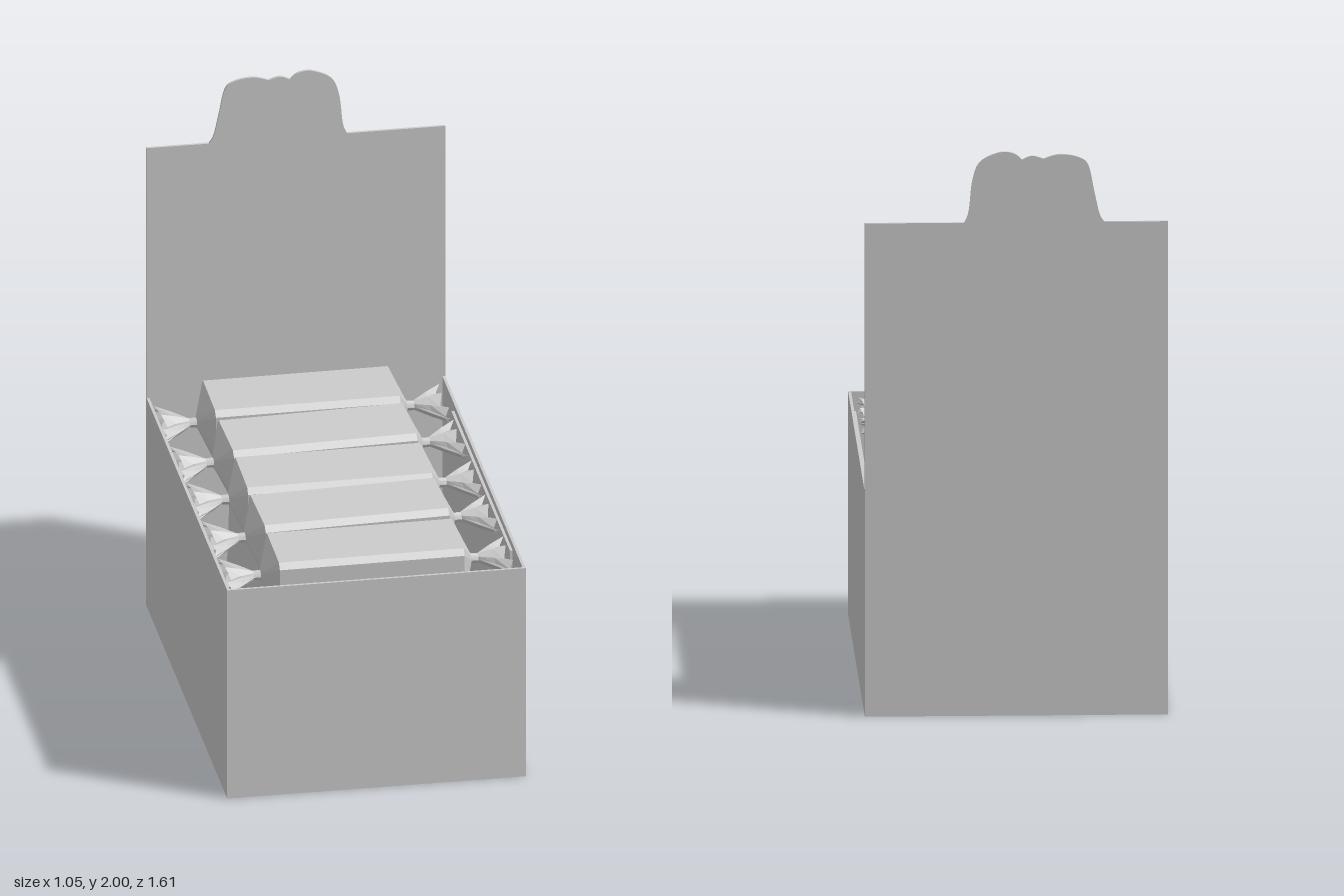
import * as THREE from 'three';

const W = 1.05, H = 0.795, D = 1.61, T = 0.01;

const card = new THREE.MeshStandardMaterial({ color: 0xcccccc, flatShading: true });
const wrap = new THREE.MeshStandardMaterial({ color: 0xcccccc, flatShading: true, side: THREE.DoubleSide });

function panel(name, w, h, d, x, y, z) {
  const mesh = new THREE.Mesh(new THREE.BoxGeometry(w, h, d), card);
  mesh.position.set(x, y, z);
  mesh.name = name;
  return mesh;
}

// Chamfered rectangle, 16 points, as [z, y]
function bodyRing(w, h, c) {
  const half = [[w, 0], [w, h - c], [w - c, h], [w / 2, h], [0, h], [-w / 2, h], [c - w, h], [-w, h - c]];
  return [...half, ...half.map(([z, y]) => [-z, -y])];
}

// Ellipse whose alternate points are pulled in to form pleats
function pleatRing(w, h, pull) {
  return Array.from({ length: 16 }, (_, j) => {
    const a = (j / 16) * Math.PI * 2, k = j % 2 ? pull : 1;
    return [Math.cos(a) * w * (j % 2 ? 0.95 : 1), Math.sin(a) * h * k];
  });
}

// Wrapped sweet lofted along x: fan, knot, body, knot, fan
function sweetGeometry() {
  const side = [
    [0.495, pleatRing(0.135, 0.04, 0.35)],
    [0.445, pleatRing(0.075, 0.03, 0.5)],
    [0.395, pleatRing(0.02, 0.016, 0.8)],
    [0.37, pleatRing(0.02, 0.018, 0.9)],
    [0.325, bodyRing(0.138, 0.1, 0.02)],
  ];
  const rings = [...side.map(([x, r]) => [-x, r]), ...side.slice().reverse()];
  const pos = [], idx = [];
  rings.forEach(([x, ring], i) => ring.forEach(([z, y], j) => {
    const rim = i === 0 || i === rings.length - 1;
    // ragged rim: outer corners reach furthest
    const reach = rim ? Math.sign(x) * ((j % 2 ? -0.012 : 0.006) + 0.1 * (Math.abs(z) - 0.08)) : 0;
    pos.push(x + reach, y, z);
  }));
  for (let i = 0; i < rings.length - 1; i++) {
    for (let j = 0; j < 16; j++) {
      const k = (j + 1) % 16, a = i * 16, b = a + 16;
      idx.push(a + j, b + j, a + k, a + k, b + j, b + k);
    }
  }
  const g = new THREE.BufferGeometry();
  g.setAttribute('position', new THREE.Float32BufferAttribute(pos, 3));
  g.setIndex(idx);
  g.computeVertexNormals();
  return g;
}

// Tall back card with a wavy tab on top
function backCard() {
  const s = new THREE.Shape();
  s.moveTo(-W / 2, 0);
  s.lineTo(W / 2, 0);
  s.lineTo(W / 2, 1.75);
  s.lineTo(0.18, 1.75);
  s.splineThru([[0.165, 1.79], [0.152, 1.9], [0.125, 1.965], [0.06, 1.998], [0.01, 1.995], [-0.02, 1.972]]
    .map(p => new THREE.Vector2(...p)));
  s.splineThru([[-0.055, 1.985], [-0.095, 1.975]].map(p => new THREE.Vector2(...p)));
  s.splineThru([[-0.15, 1.99], [-0.215, 1.98], [-0.25, 1.95], [-0.27, 1.86], [-0.288, 1.78], [-0.305, 1.75]]
    .map(p => new THREE.Vector2(...p)));
  s.lineTo(-W / 2, 1.75);
  s.closePath();
  const g = new THREE.ExtrudeGeometry(s, { depth: T, bevelEnabled: false, curveSegments: 14 });
  const mesh = new THREE.Mesh(g, card);
  mesh.position.z = -D / 2;
  mesh.name = 'backCard';
  return mesh;
}

export function createModel() {
  const root = new THREE.Group();
  root.name = 'sweetDisplayBox';

  // Open carton
  const box = new THREE.Group();
  box.name = 'carton';
  box.add(panel('floor', W, T, D, 0, T / 2, 0));
  box.add(panel('frontWall', W, H, T, 0, H / 2, D / 2 - T / 2));
  for (const s of [1, -1]) {
    const n = s > 0 ? 'left' : 'right';
    box.add(panel(n + 'Wall', T, H, D - 2 * T, s * (W / 2 - T / 2), H / 2, 0));
    // folded-in side flap
    box.add(panel(n + 'InnerFlap', T, 0.7, 1.16, s * (W / 2 - 1.5 * T), 0.42, 0.02));
  }
  box.add(backCard());
  root.add(box);

  // Raised insert under the sweets, with sloping sides
  const insert = panel('insert', 0.54, 0.64, 1.3, -0.005, 0.33, 0);
  const p = insert.geometry.attributes.position;
  for (let i = 0; i < p.count; i++) if (p.getY(i) > 0) p.setX(i, p.getX(i) * 0.92);
  insert.geometry.computeVertexNormals();
  root.add(insert);

  // Row of wrapped sweets: z, turn, lift, roll
  const geo = sweetGeometry();
  const row = [
    [-0.642, 0, 0, 0.02],
    [-0.322, 0.035, 0, 0.03],
    [-0.002, 0, 0, 0.03],
    [0.308, 0.035, 0.003, 0.03],
    [0.628, 0, 0, 0.02],
  ];
  row.forEach(([z, turn, lift, roll], i) => {
    const sweet = new THREE.Mesh(geo, wrap);
    sweet.position.set(-0.008, 0.763 + lift, z);
    sweet.rotation.set(roll, turn, 0.004);
    sweet.name = 'wrappedSweet' + (i + 1);
    root.add(sweet);
  });
  return root;
}
